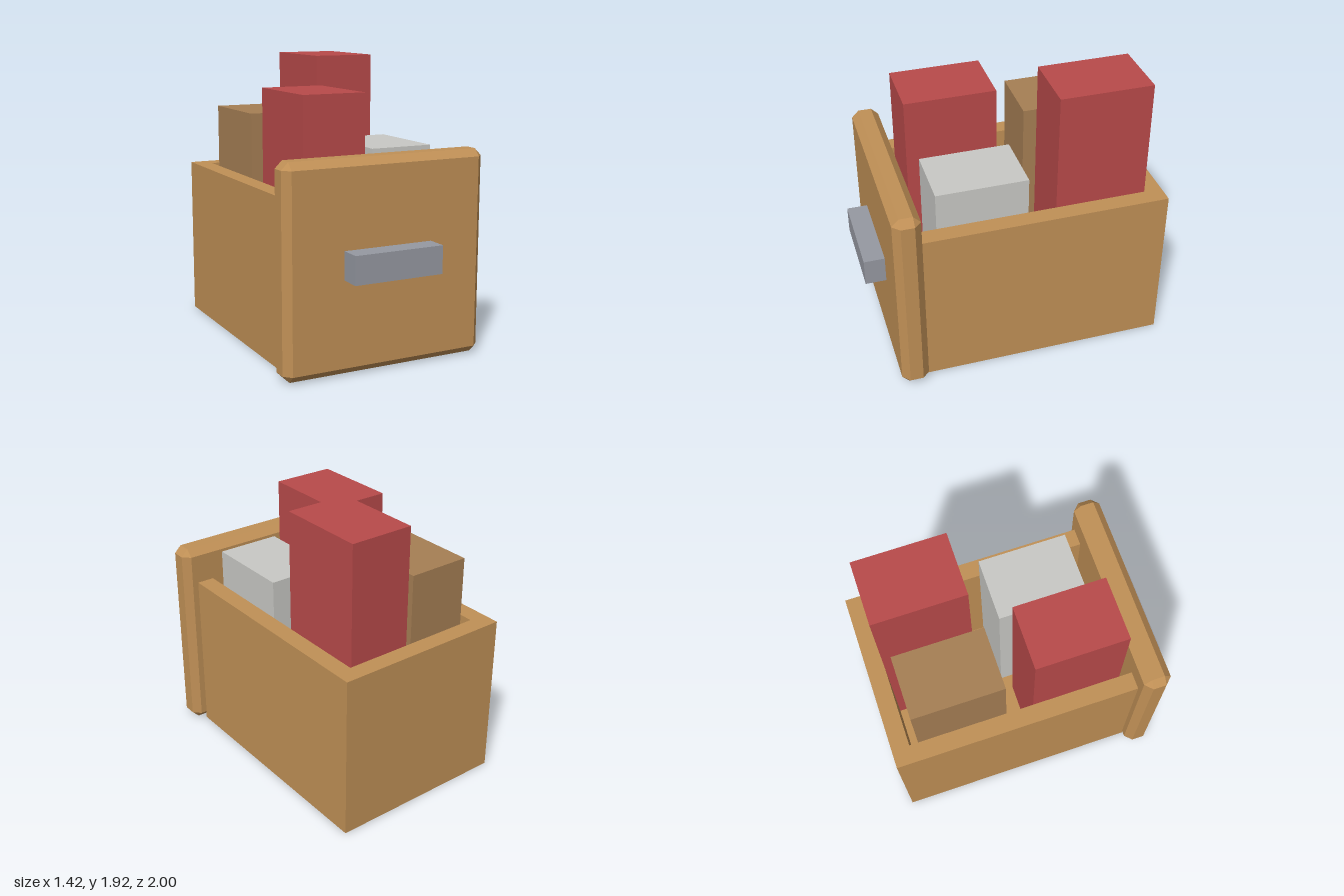
import * as THREE from 'three';
import { ConvexGeometry } from 'three/addons/geometries/ConvexGeometry.js';

const material = (name, color) => {
  const m = new THREE.MeshStandardMaterial({ color });
  m.name = name;
  return m;
};

// Box given by its limits on each axis
function block(name, mat, [x0, x1], [y0, y1], [z0, z1]) {
  const mesh = new THREE.Mesh(new THREE.BoxGeometry(x1 - x0, y1 - y0, z1 - z0), mat);
  mesh.position.set((x0 + x1) / 2, (y0 + y1) / 2, (z0 + z1) / 2);
  mesh.name = name;
  return mesh;
}

// Box with every edge cut at 45 degrees and triangular corners
function chamferedBox(w, h, d, c) {
  const points = [];
  for (const sx of [-1, 1]) for (const sy of [-1, 1]) for (const sz of [-1, 1]) {
    const [x, y, z] = [w / 2, h / 2, d / 2];
    points.push(
      new THREE.Vector3(sx * x, sy * (y - c), sz * (z - c)),
      new THREE.Vector3(sx * (x - c), sy * y, sz * (z - c)),
      new THREE.Vector3(sx * (x - c), sy * (y - c), sz * z)
    );
  }
  return new ConvexGeometry(points);
}

export function createModel() {
  const wood = material('wood', 0xc09056);
  const brown = material('brown', 0xa67f54);
  const red = material('red', 0xb94a4a);
  const paper = material('pale grey', 0xc9c9c5);
  const metal = material('metal grey', 0x9699a2);

  const model = new THREE.Group();
  model.name = 'drawer';

  // Side and back walls: a U outline raised to the rim, open towards the front panel
  const outline = new THREE.Shape([
    [-0.62, -0.68], [-0.5, -0.68], [-0.5, 0.88], [0.5, 0.88],
    [0.5, -0.68], [0.62, -0.68], [0.62, 1], [-0.62, 1],
  ].map(([x, y]) => new THREE.Vector2(x, y)));
  const wallGeometry = new THREE.ExtrudeGeometry(outline, { depth: 1.12, bevelEnabled: false });
  wallGeometry.rotateX(-Math.PI / 2);
  const walls = new THREE.Mesh(wallGeometry, wood);
  walls.name = 'walls';
  model.add(walls);

  model.add(block('floor', wood, [-0.5, 0.5], [0, 0.12], [-0.88, 0.68]));

  // Front panel, taller and wider than the drawer
  const panel = new THREE.Mesh(chamferedBox(1.42, 1.365, 0.185, 0.048), wood);
  panel.position.set(0, 0.6875, 0.7675);
  panel.name = 'frontPanel';
  model.add(panel);

  model.add(block('handle', metal, [-0.31, 0.31], [0.62, 0.805], [0.85, 1]));

  // Contents standing on the floor
  const left = [0.057, 0.493], right = [-0.467, -0.035];
  model.add(
    block('tallRedBox', red, left, [0.12, 1.925], [-0.88, -0.26]),
    block('shortRedBox', red, right, [0.12, 1.74], [-0.01, 0.61]),
    block('brownBox', brown, right, [0.12, 1.55], [-0.82, -0.2]),
    block('paleBox', paper, left, [0.12, 1.37], [-0.07, 0.545])
  );
  return model;
}
